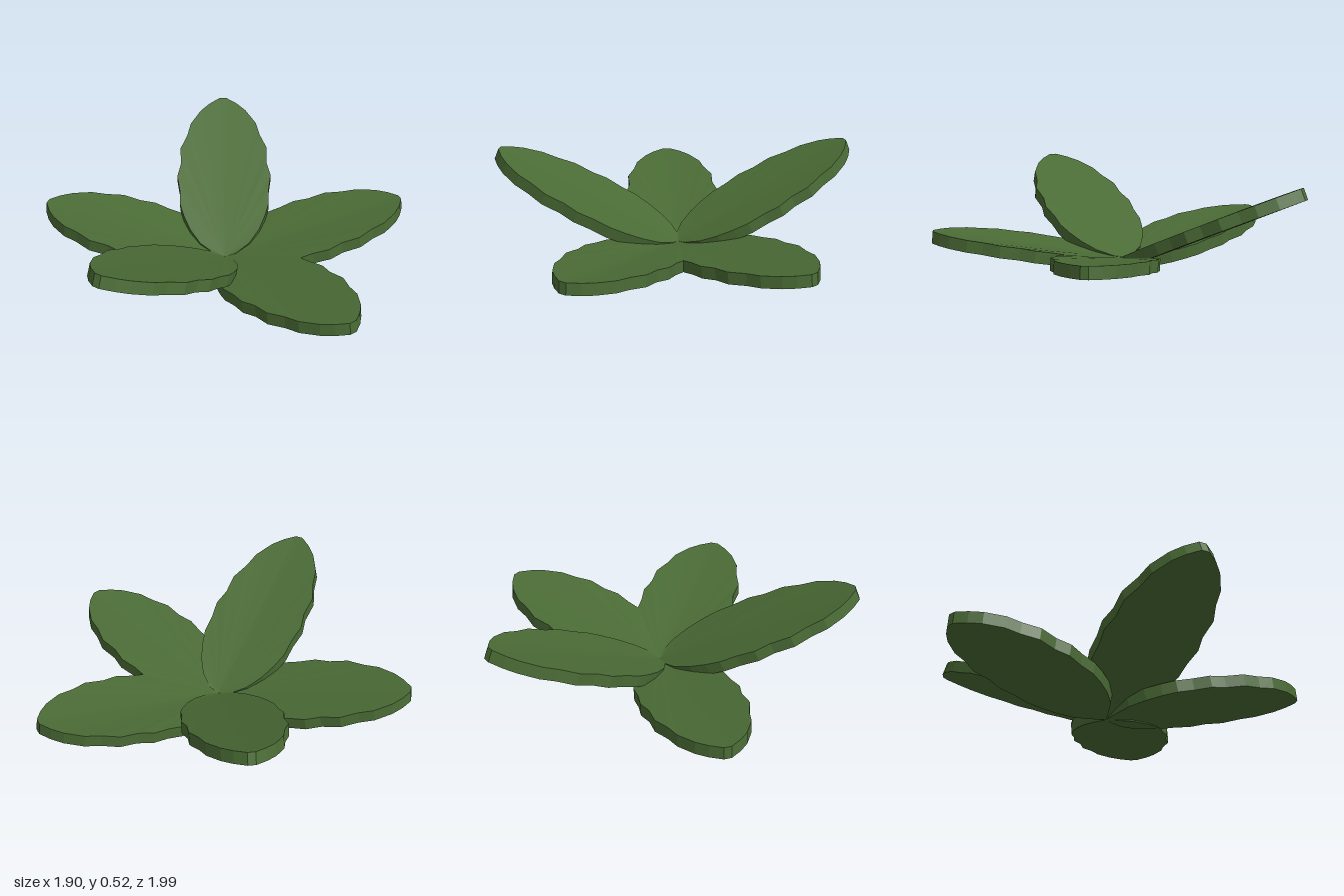
import * as THREE from 'three';

// Half outline of a leaf: distance along the midrib, half width
const HALF = [
  [0.04, 0.06], [0.1, 0.135], [0.18, 0.19], [0.26, 0.225], [0.335, 0.248], [0.42, 0.25],
  [0.51, 0.265], [0.59, 0.245], [0.69, 0.249], [0.78, 0.21], [0.86, 0.19], [0.95, 0.132],
  [1.0, 0.08], [1.04, 0.02],
];
const THICKNESS = 0.065;

// A thick leaf lying along +x, bent upwards by y = slope * x - droop * x^2
function leafGeometry(slope, droop) {
  const outline = [[0, 0], ...HALF, ...HALF.map(([u, w]) => [u, -w]).reverse()];
  const bottom = [], top = [];
  for (const [u, w] of outline) {
    const y = slope * u - droop * u * u;
    const tilt = u > 0 ? Math.atan(slope - 2 * droop * u) : 0;
    bottom.push([u, y, w]);
    top.push([u - THICKNESS * Math.sin(tilt), y + THICKNESS * Math.cos(tilt), w]);
  }
  const pos = [];
  const tri = (...corners) => corners.forEach((c) => pos.push(...c));
  const n = outline.length;
  for (let i = 0; i < n; i++) {
    const j = (i + 1) % n;
    // rim
    tri(bottom[i], bottom[j], top[j]);
    tri(bottom[i], top[j], top[i]);
    // upper and lower faces fan out from the base
    if (i > 0 && j > 0) {
      tri(top[0], top[i], top[j]);
      tri(bottom[0], bottom[j], bottom[i]);
    }
  }
  const geometry = new THREE.BufferGeometry();
  geometry.setAttribute('position', new THREE.Float32BufferAttribute(pos, 3));
  geometry.computeVertexNormals();
  return geometry;
}

export function createModel() {
  const group = new THREE.Group();
  group.name = 'leafRosette';
  const green = new THREE.MeshStandardMaterial({ color: 0x4a6b35, flatShading: true });
  const low = leafGeometry(0.235, 0.065);
  const high = leafGeometry(0.475, 0.03);

  // Five leaves in a star, alternating low and raised
  for (let i = 0; i < 5; i++) {
    const raised = i % 2 === 1;
    const leaf = new THREE.Mesh(raised ? high : low, green);
    leaf.name = raised ? 'raisedLeaf' : 'lowLeaf';
    leaf.position.x = -0.09;
    leaf.rotation.y = (i * Math.PI * 2) / 5;
    group.add(leaf);
  }
  return group;
}
